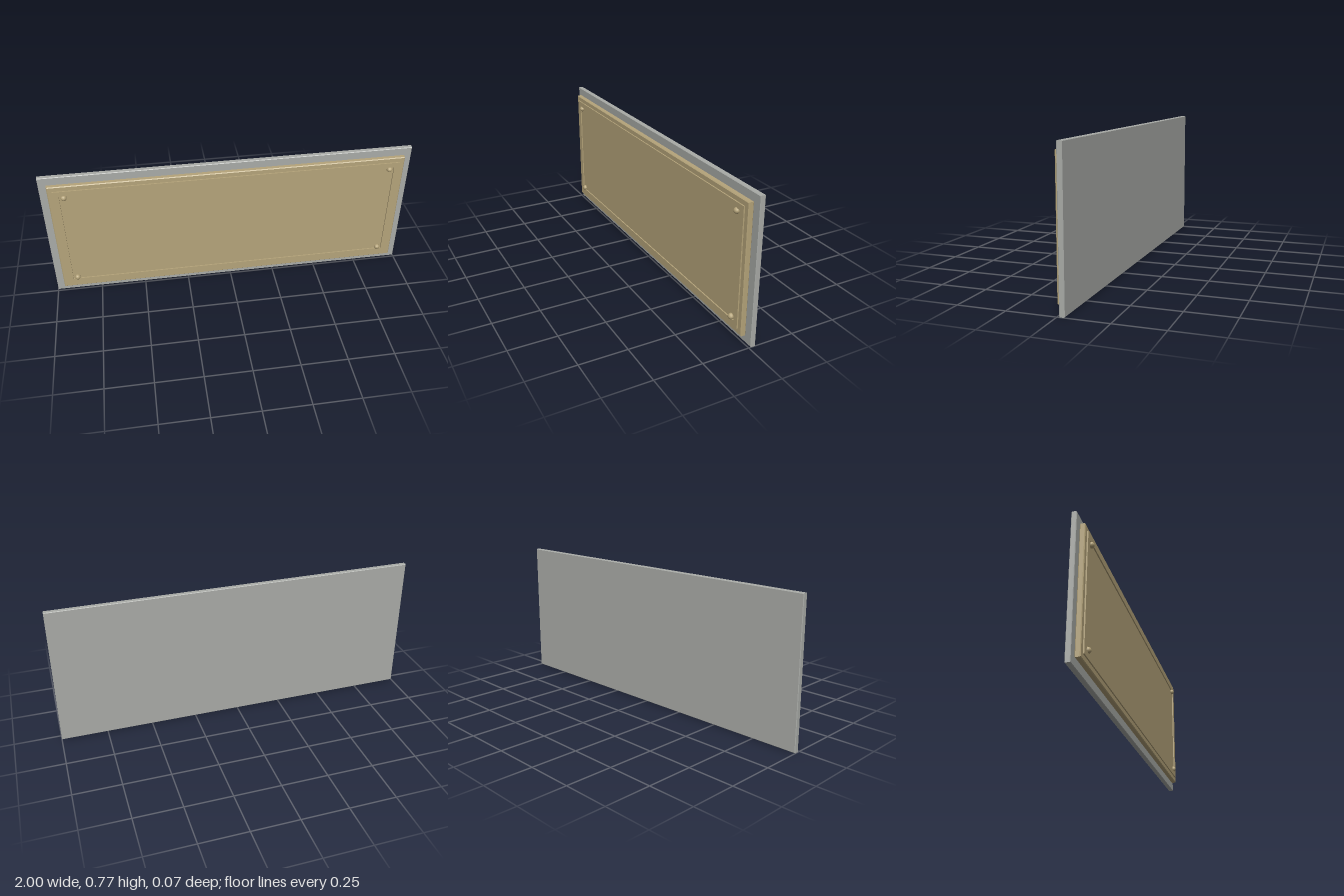
import * as THREE from 'three';

const MID_Y = 0.384;

// Rectangle centred on the origin
function rect(Type, w, h) {
  const p = new Type();
  p.moveTo(-w / 2, -h / 2);
  p.lineTo(w / 2, -h / 2);
  p.lineTo(w / 2, h / 2);
  p.lineTo(-w / 2, h / 2);
  p.closePath();
  return p;
}

// Plate with chamfered edges, filling w x h and z0..z1
function chamferedPlate(w, h, z0, z1, bevel) {
  const geometry = new THREE.ExtrudeGeometry(rect(THREE.Shape, w - 2 * bevel, h - 2 * bevel), {
    depth: z1 - z0 - 2 * bevel,
    bevelEnabled: true,
    bevelThickness: bevel,
    bevelSize: bevel,
    bevelSegments: 1,
  });
  return geometry.translate(0, MID_Y, z0 + bevel);
}

export function createModel() {
  const group = new THREE.Group();
  const steel = new THREE.MeshStandardMaterial({ name: 'grey steel', color: 0xa9aba7 });
  const brass = new THREE.MeshStandardMaterial({ name: 'dull brass', color: 0xb5a47a });

  const add = (name, geometry, material) => {
    const mesh = new THREE.Mesh(geometry, material);
    mesh.name = name;
    group.add(mesh);
    return mesh;
  };

  // Backing and face plates
  add('backPlate', chamferedPlate(2, 0.768, -0.037, -0.01, 0.003), steel);
  add('facePlate', chamferedPlate(1.914, 0.684, -0.01, 0.018, 0.004), brass);

  // Thin raised border around the face
  const border = rect(THREE.Shape, 1.86, 0.63);
  border.holes.push(rect(THREE.Path, 1.8, 0.57));
  const borderGeometry = new THREE.ExtrudeGeometry(border, { depth: 0.0075, bevelEnabled: false });
  add('raisedBorder', borderGeometry.translate(0, MID_Y, 0.017), brass);

  // Domed rivets in the four corners
  const dome = new THREE.SphereGeometry(0.016, 12, 8);
  dome.rotateX(Math.PI / 2);
  for (const sx of [-1, 1]) {
    for (const sy of [-1, 1]) {
      add('rivet', dome, brass).position.set(sx * 0.876, MID_Y + sy * 0.274, 0.0215);
    }
  }
  return group;
}
